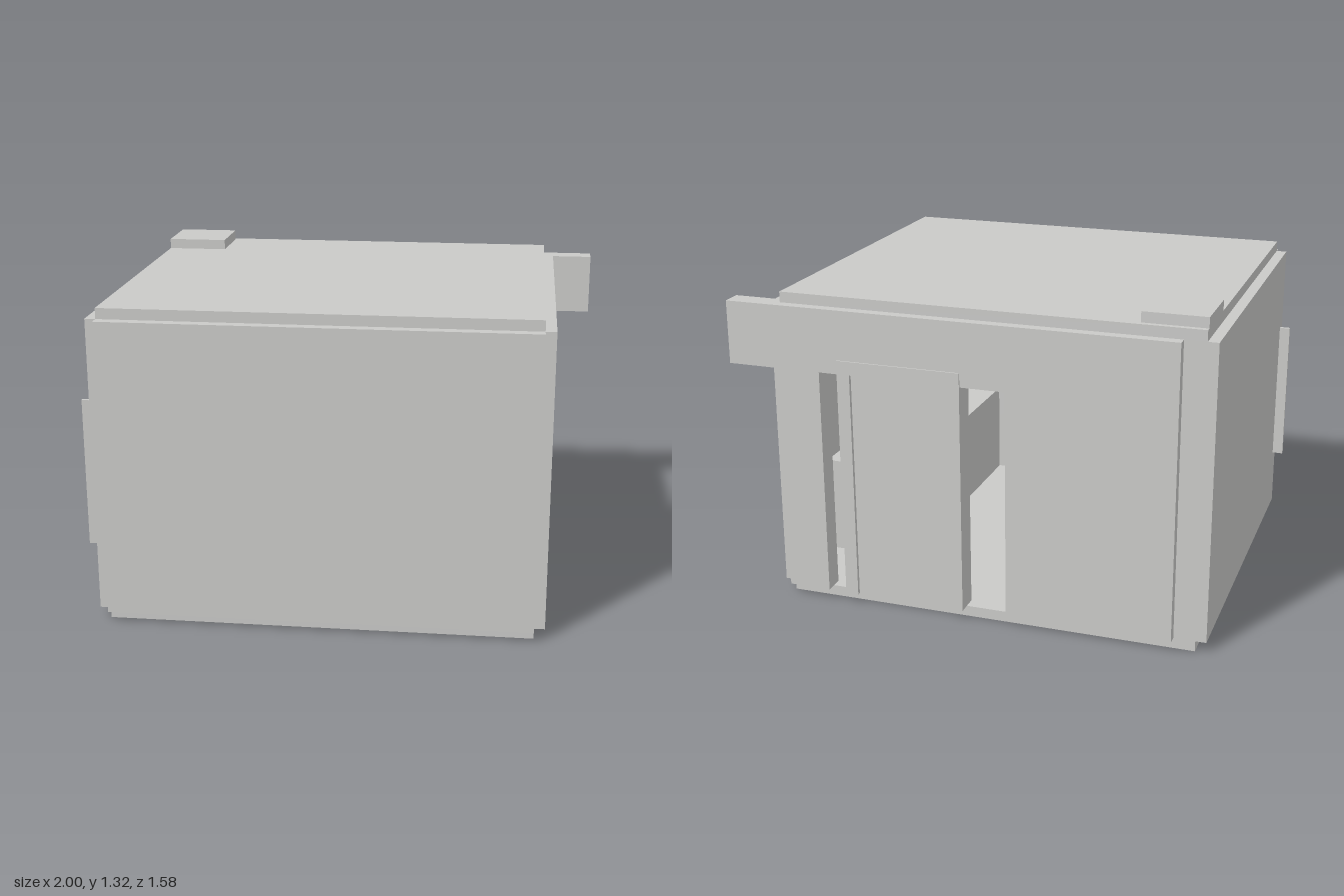
import * as THREE from 'three';

export function createModel() {
  const model = new THREE.Group();
  model.name = 'room';
  const plaster = new THREE.MeshStandardMaterial({ color: 0xcacac8 });
  plaster.name = 'pale grey';

  // Box given by its limits on each axis
  const box = (name, [x0, x1], [y0, y1], [z0, z1]) => {
    const mesh = new THREE.Mesh(new THREE.BoxGeometry(x1 - x0, y1 - y0, z1 - z0), plaster);
    mesh.position.set((x0 + x1) / 2, (y0 + y1) / 2, (z0 + z1) / 2);
    mesh.name = name;
    model.add(mesh);
  };
  // Outline in x and y, given thickness along z
  const slab = (name, points, z0, z1) => {
    const shape = new THREE.Shape(points.map(([x, y]) => new THREE.Vector2(x, y)));
    const geometry = new THREE.ExtrudeGeometry(shape, { depth: z1 - z0, bevelEnabled: false });
    const mesh = new THREE.Mesh(geometry, plaster);
    mesh.position.z = z0;
    mesh.name = name;
    model.add(mesh);
  };

  const inX = [-0.913, 0.782], inZ = [-0.742, 0.745], wallY = [0.043, 1.237];

  // Shell
  box('floor', inX, [0, 0.043], inZ);
  box('ceiling', inX, [1.237, 1.28], inZ);
  box('frontWall', inX, wallY, [0.745, 0.788]);
  box('rightWall', [-0.956, -0.913], wallY, inZ);
  box('leftWall', [0.782, 0.825], wallY, inZ);

  // Back wall with a wide doorway and an overhanging lintel
  slab('backWall', [
    [-0.827, 0.043], [-0.16, 0.043], [-0.16, 0.98], [0.607, 0.98], [0.607, 0.043],
    [0.782, 0.043], [0.782, 0.98], [0.996, 0.98], [0.996, 1.237], [-0.827, 1.237],
  ], -0.784, -0.7);
  box('cornerFiller', [-0.913, -0.827], wallY, [-0.742, -0.7]);

  // Door frame and recessed door leaf
  slab('doorFrame', [
    [0.02, 0.043], [0.07, 0.043], [0.07, 0.985], [0.475, 0.985], [0.475, 0.043],
    [0.528, 0.043], [0.528, 1.037], [0.02, 1.037],
  ], -0.79, -0.69);
  box('door', [0.07, 0.475], [0.043, 0.985], [-0.775, -0.735]);

  // Low bench along the left wall
  box('bench', [0.41, 0.782], [0.043, 0.45], [-0.4, 0.745]);

  // Roof hatch and side panel
  box('roofHatch', [-0.913, -0.662], [1.28, 1.322], [-0.72, -0.468]);
  box('sidePanel', [-1, -0.956], [0.3, 0.9], [0.685, 0.7]);

  return model;
}
